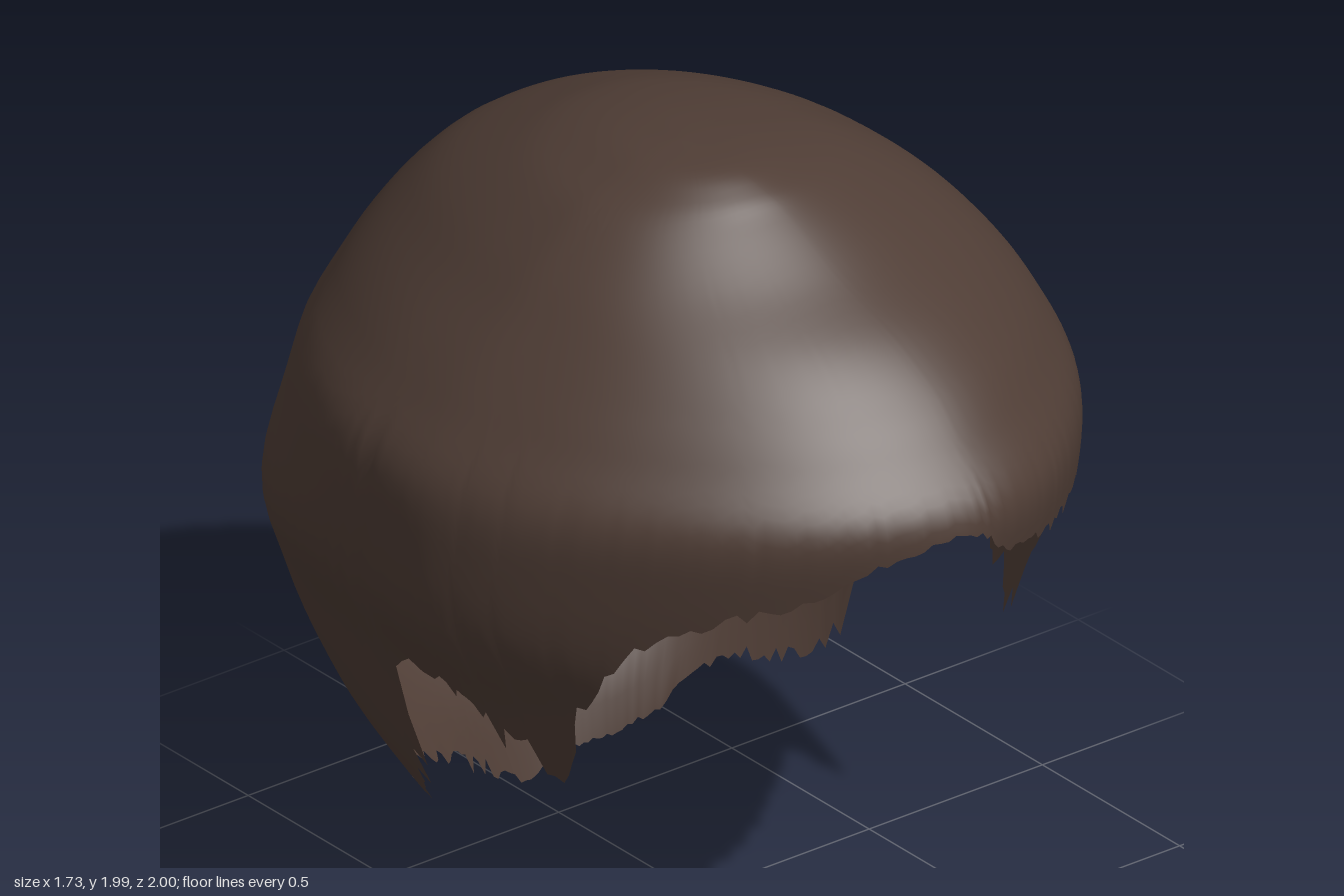
import * as THREE from 'three';

// Cross-sections from crown to nape: y, right x, left x, front z, back z
const SECTIONS = [
  [2.0, -0.1, -0.1, 0.06, 0.06],
  [1.987, -0.21, 0.03, 0.22, -0.12],
  [1.95, -0.3, 0.18, 0.31, -0.3],
  [1.9, -0.39, 0.33, 0.38, -0.43],
  [1.8, -0.5, 0.5, 0.52, -0.64],
  [1.7, -0.59, 0.62, 0.69, -0.76],
  [1.6, -0.68, 0.71, 0.81, -0.84],
  [1.5, -0.76, 0.775, 0.9, -0.89],
  [1.37, -0.85, 0.835, 0.995, -0.94],
  [1.2, -0.865, 0.865, 0.975, -0.98],
  [1.0, -0.845, 0.85, 0.91, -0.998],
  [0.8, -0.75, 0.79, 0.85, -0.96],
  [0.6, -0.67, 0.72, 0.85, -0.9],
  [0.4, -0.59, 0.63, 0.8, -0.8],
  [0.2, -0.5, 0.53, 0.7, -0.72],
  [0.0, -0.43, 0.45, 0.6, -0.66],
];

// Hem height by angle, from the front round each side to the nape: angle, y, jag
const HEM_LEFT = [
  [0, 1.32, 0.02], [7, 1.25, 0.03], [27, 1.2, 0.05], [47, 1.17, 0.04], [54, 1.12, 0.03],
  [59, 0.86, 0.06], [66, 0.64, 0.09], [79, 0.71, 0.08], [88, 0.77, 0.05], [95, 0.77, 0.05],
  [98, 0.5, 0.1], [101, 0.37, 0.1], [109, 0.3, 0.04], [128, 0.26, 0.02], [141, 0.15, 0.03],
  [152, 0.08, 0.01], [169, 0.05, 0.01], [180, 0.01, 0.01],
];
const HEM_RIGHT = [
  [0, 1.32, 0.02], [10, 1.34, 0.02], [18, 1.3, 0.02], [30, 1.2, 0.03], [43, 1.13, 0.04],
  [51, 1.03, 0.04], [58, 0.87, 0.05], [66, 0.64, 0.1], [79, 0.72, 0.1], [87, 0.82, 0.05],
  [95, 0.8, 0.05], [98, 0.5, 0.12], [101, 0.38, 0.12], [109, 0.3, 0.04], [131, 0.27, 0.03],
  [150, 0.17, 0.05], [168, 0.07, 0.05], [180, 0.0, 0.01],
];

const { lerp, smoothstep, degToRad } = THREE.MathUtils;

let seed = 7;
const random = () => (seed = (seed * 16807) % 2147483647) / 2147483647;

// Smooth cross-section at fractional index k
function section(k) {
  const last = SECTIONS.length - 1;
  const i = Math.min(Math.floor(k), last - 1), t = k - i;
  const at = (n) => SECTIONS[Math.min(Math.max(n, 0), last)];
  return SECTIONS[0].map((_, c) => {
    const [p, q, r, s] = [at(i - 1)[c], at(i)[c], at(i + 1)[c], at(i + 2)[c]];
    return q + 0.5 * t * (r - p + t * (2 * p - 5 * q + 4 * r - s + t * (3 * (q - r) + s - p)));
  });
}

// Section index that lies at a given height
function indexAt(y) {
  let lo = 0, hi = SECTIONS.length - 1;
  for (let n = 0; n < 30; n++) {
    const mid = (lo + hi) / 2;
    if (section(mid)[0] > y) lo = mid; else hi = mid;
  }
  return lo;
}

function hemAt(angle) {
  const table = angle <= 180 ? HEM_LEFT : HEM_RIGHT;
  const d = angle <= 180 ? angle : 360 - angle;
  const i = Math.max(1, table.findIndex((h) => h[0] >= d));
  const [a, b] = [table[i - 1], table[i]];
  const t = (d - a[0]) / (b[0] - a[0]);
  return Math.max(0, lerp(a[1], b[1], t) + lerp(a[2], b[2], t) * (random() - 0.4));
}

// Point on the cap: a pointed oval in front, fuller behind and squarest above the nape
function capPoint(k, phi) {
  const [y, xr, xl, zf, zb] = section(k);
  const s = Math.sin(phi), c = Math.cos(phi);
  const frontPower = lerp(1.7, 1.82, smoothstep(y, 1.0, 1.7));
  const backPower = 2.15 + 1.0 * smoothstep(1.35 - y, 0, 0.7) * smoothstep(y, 0.15, 0.5);
  const power = 2 / lerp(frontPower, backPower, smoothstep(-c, -0.25, 0.25));
  const fade = Math.min(1, k / 6);
  const cx = lerp(-0.1, 0, fade) + 0.05 * fade * c * c;
  const cz = lerp(0.06, 0, fade);
  // Soft waves along the sides
  const wave = 1 + fade * 0.006 * s * s * (Math.sin(5 * phi + 2 * y) + Math.sin(9 * phi - 5 * y) * 0.6);
  const x = cx + ((s > 0 ? xl : xr) - cx) * Math.pow(Math.abs(s), power) * wave;
  const z = cz + ((c > 0 ? zf : zb) - cz) * Math.pow(Math.abs(c), power) * wave;
  return [x, y, z];
}

function hairGeometry(columns, rows) {
  const positions = [...capPoint(0, 0)], index = [];
  for (let j = 0; j < columns; j++) {
    const angle = (j / columns) * 360;
    const kHem = indexAt(hemAt(angle));
    for (let i = 1; i <= rows; i++) {
      positions.push(...capPoint((kHem * i) / rows, degToRad(angle)));
    }
  }
  const id = (i, j) => (i === 0 ? 0 : 1 + (j % columns) * rows + i - 1);
  for (let j = 0; j < columns; j++) {
    for (let i = 0; i < rows; i++) {
      index.push(id(i, j), id(i + 1, j), id(i + 1, j + 1));
      if (i > 0) index.push(id(i, j), id(i + 1, j + 1), id(i, j + 1));
    }
  }
  const geometry = new THREE.BufferGeometry();
  geometry.setAttribute('position', new THREE.Float32BufferAttribute(positions, 3));
  geometry.setIndex(index);
  geometry.computeVertexNormals();
  return geometry;
}

export function createModel() {
  const group = new THREE.Group();
  group.name = 'hairpiece';
  const brown = new THREE.MeshStandardMaterial({ color: 0x4f3d35, side: THREE.DoubleSide });
  brown.name = 'dark brown hair';
  // One open shell with a ragged hem
  const hair = new THREE.Mesh(hairGeometry(260, 44), brown);
  hair.name = 'hairCap';
  group.add(hair);
  return group;
}
